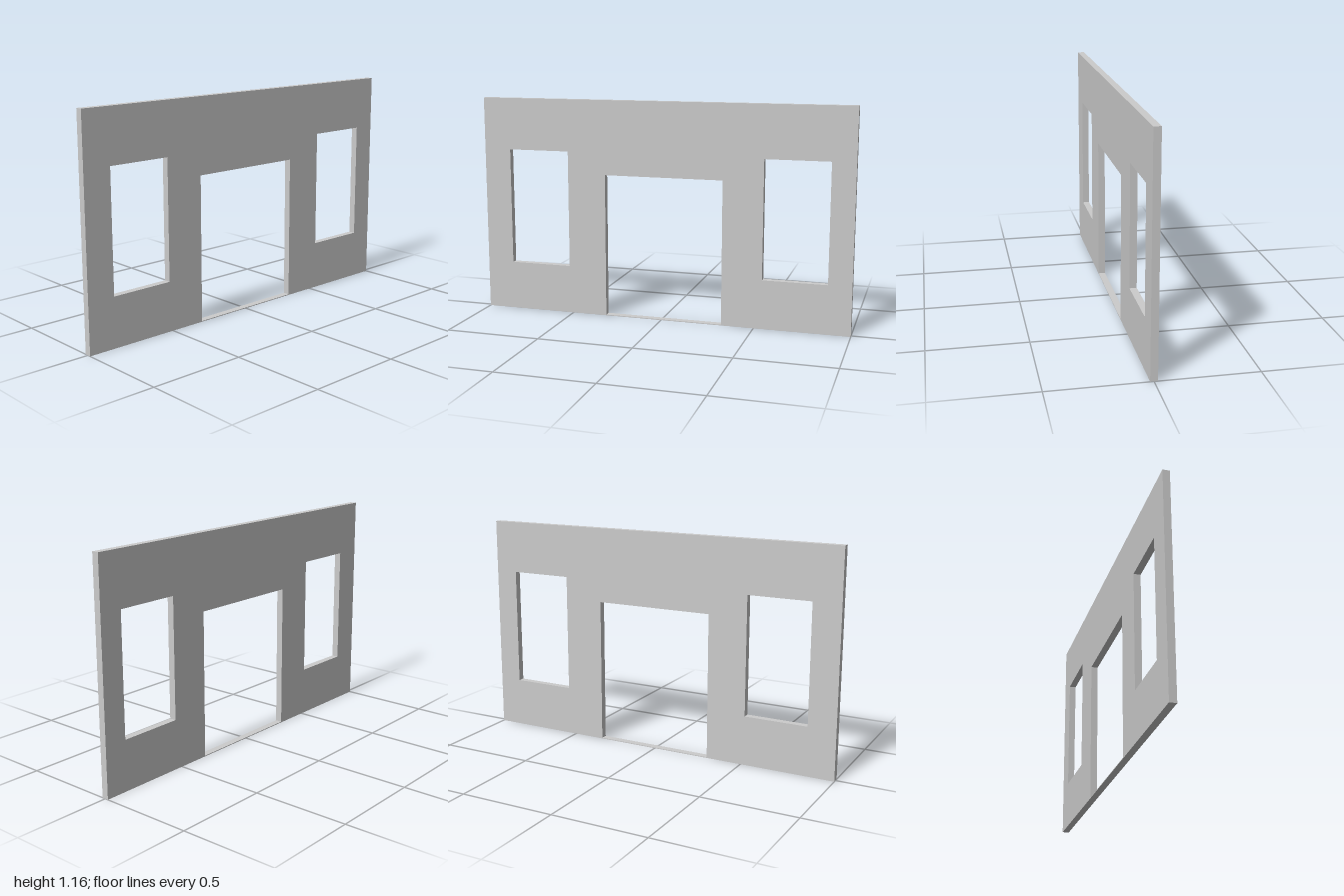
import * as THREE from 'three';

const HEIGHT = 1.163, DEPTH = 0.036;

// Trace a rectangle onto a Shape or Path
function rect(path, x0, y0, x1, y1) {
  path.moveTo(x0, y0);
  path.lineTo(x1, y0);
  path.lineTo(x1, y1);
  path.lineTo(x0, y1);
  path.closePath();
  return path;
}

export function createModel() {
  const group = new THREE.Group();
  group.name = 'wallPanel';

  // Wall outline with its openings
  const outline = rect(new THREE.Shape(), -1, 0, 1, HEIGHT);
  const openings = [
    [-0.853, 0.26, -0.518, 0.886], // right window
    [-0.309, 0.004, 0.328, 0.768], // doorway, above a thin threshold
    [0.541, 0.26, 0.878, 0.886],   // left window
  ];
  for (const o of openings) outline.holes.push(rect(new THREE.Path(), ...o));

  const geometry = new THREE.ExtrudeGeometry(outline, { depth: DEPTH, bevelEnabled: false });
  geometry.translate(0, 0, -DEPTH / 2);

  const wall = new THREE.Mesh(geometry, new THREE.MeshStandardMaterial({ color: 0xcccccc }));
  wall.name = 'wall';
  group.add(wall);
  return group;
}
